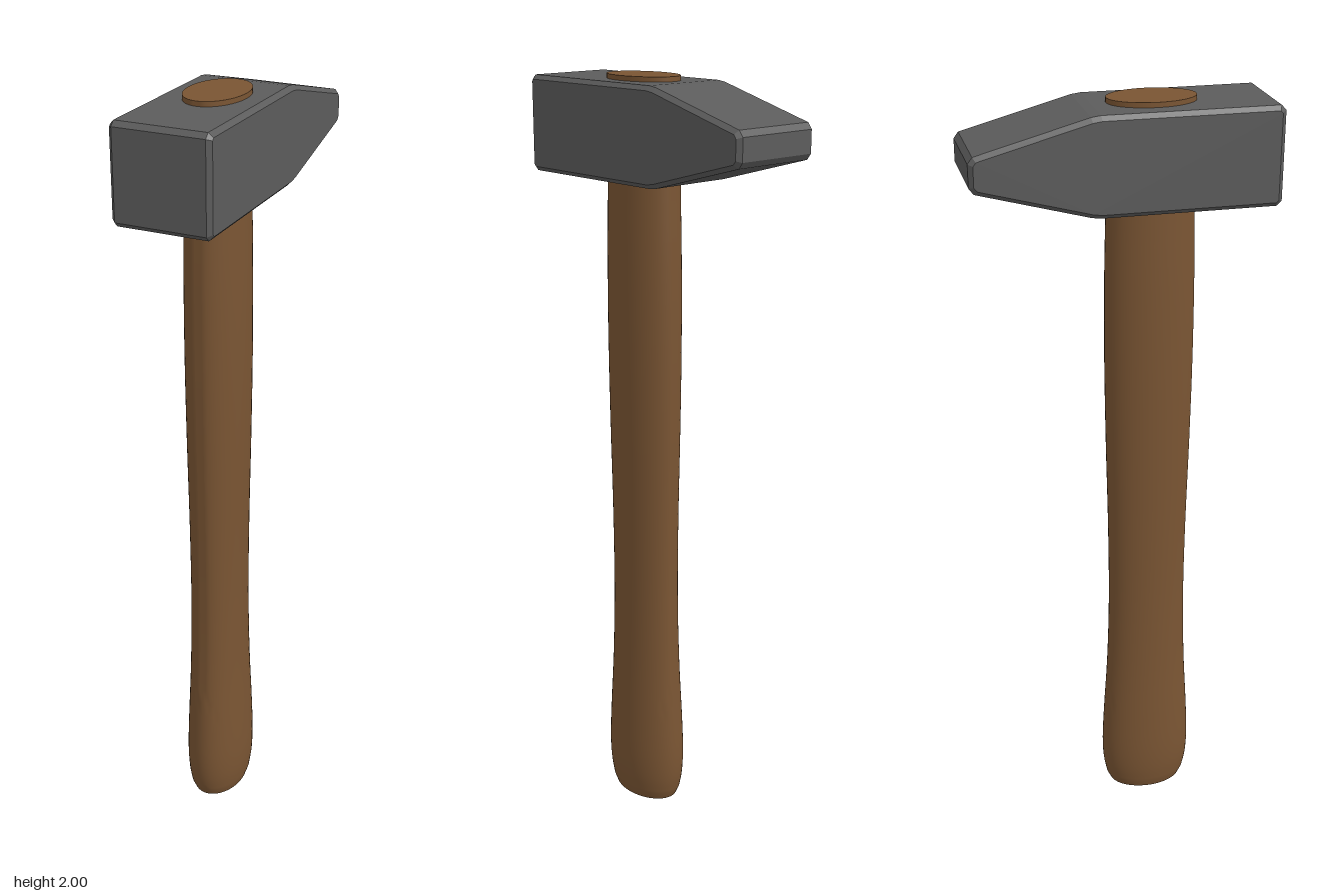
import * as THREE from 'three';
import { toCreasedNormals } from 'three/addons/utils/BufferGeometryUtils.js';

const HANDLE_Z = 0.08;

// Elliptical handle: smooth swelling profile with a chamfered foot
function makeHandle() {
  const swell = new THREE.SplineCurve([
    [0.075, 0.022], [0.081, 0.07], [0.083, 0.14], [0.08, 0.25], [0.0735, 0.42], [0.07, 0.62],
    [0.071, 0.85], [0.0745, 1.1], [0.0765, 1.33], [0.076, 1.55], [0.0735, 1.75], [0.073, 2.0],
  ].map(([x, y]) => new THREE.Vector2(x, y))).getPoints(44);
  const profile = [new THREE.Vector2(0, 0), new THREE.Vector2(0.068, 0), ...swell, new THREE.Vector2(0, 2)];
  const geometry = new THREE.LatheGeometry(profile, 48);
  geometry.scale(1, 1, 1.5);
  const mesh = new THREE.Mesh(
    toCreasedNormals(geometry, 0.4),
    new THREE.MeshStandardMaterial({ color: 0x7a5533 })
  );
  mesh.name = 'handle';
  mesh.position.z = HANDLE_Z;
  return mesh;
}

// Replace every corner of a polygon by a short chamfer
function chamferCorners(corners, size) {
  return corners.flatMap((p, i) => {
    const prev = corners[(i + corners.length - 1) % corners.length];
    const next = corners[(i + 1) % corners.length];
    return [prev, next].map((q) => p.clone().add(q.clone().sub(p).setLength(size)));
  });
}

// Steel head: side outline (z, y) extruded across x, with bevelled edges
function makeHead() {
  const bevel = 0.011, halfWidth = 0.125;
  const corners = [
    [0.375, 1.747], [0.375, 1.988], [-0.078, 1.988], [-0.375, 1.908], [-0.375, 1.828], [-0.078, 1.747],
  ].map(([z, y]) => new THREE.Vector2(z, y));
  const depth = 2 * (halfWidth - bevel);
  const geometry = new THREE.ExtrudeGeometry(new THREE.Shape(chamferCorners(corners, 0.012)), {
    depth, bevelEnabled: true, bevelThickness: bevel, bevelSize: bevel, bevelOffset: -bevel, bevelSegments: 1,
  });
  geometry.translate(0, 0, -depth / 2);
  geometry.rotateY(-Math.PI / 2);
  const mesh = new THREE.Mesh(
    geometry,
    new THREE.MeshStandardMaterial({ color: 0x5c5c5c, flatShading: true })
  );
  mesh.name = 'hammerHead';
  return mesh;
}

export function createModel() {
  const group = new THREE.Group();
  group.name = 'hammer';
  group.add(makeHandle(), makeHead());
  return group;
}
